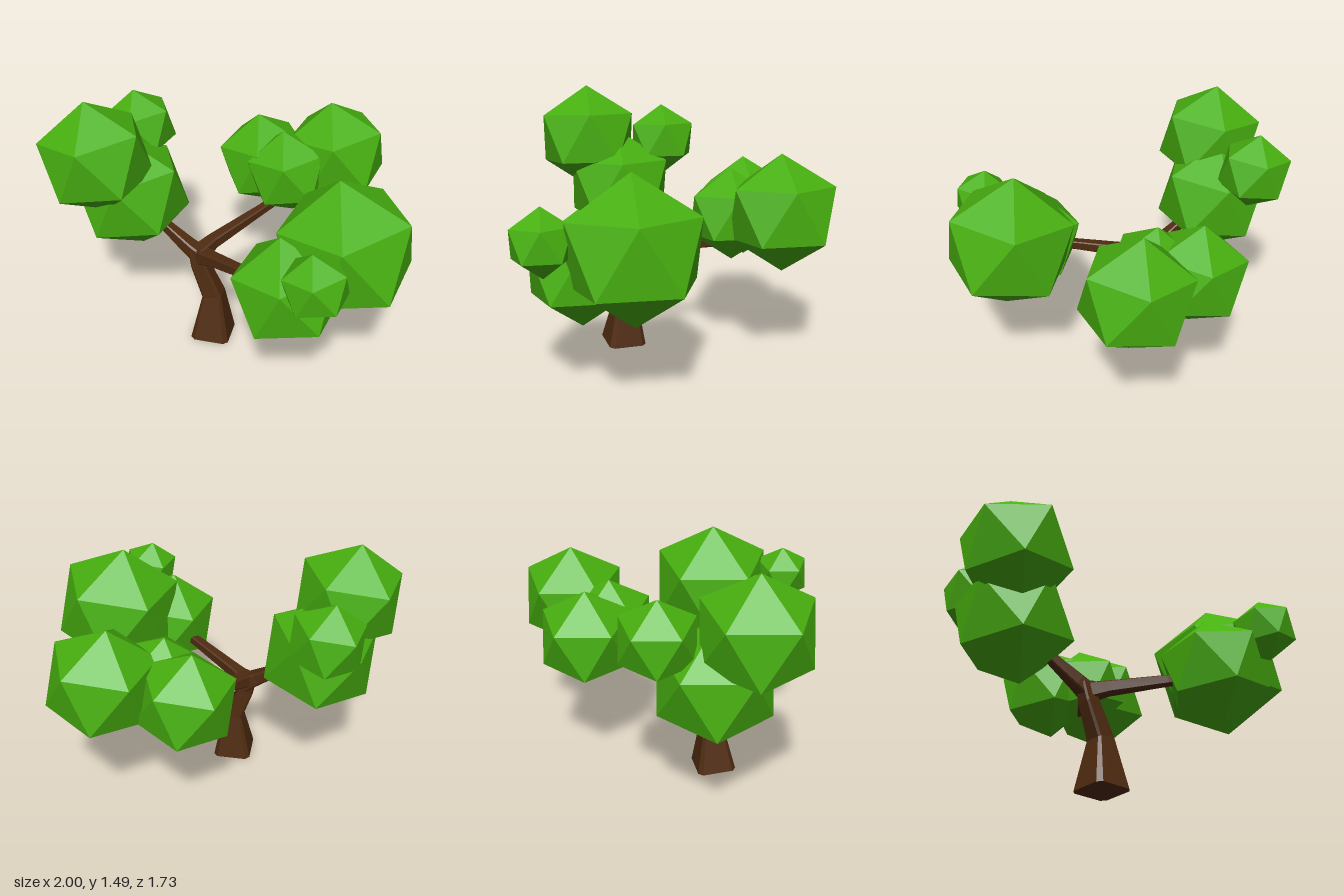
import * as THREE from 'three';

// Loft a bevelled-square limb through [x, y, z, halfWidth] stations
function limbGeometry(stations, ref) {
  const profile = [[1, -0.78], [1, 0.78], [0.78, 1], [-0.78, 1], [-1, 0.78], [-1, -0.78], [-0.78, -1], [0.78, -1]];
  const n = profile.length;
  const pts = stations.map(([x, y, z]) => new THREE.Vector3(x, y, z));
  const last = pts.length - 1;
  const pos = [], idx = [];
  pts.forEach((p, i) => {
    const t = pts[Math.min(i + 1, last)].clone().sub(pts[Math.max(i - 1, 0)]).normalize();
    const u = ref.clone().addScaledVector(t, -ref.dot(t)).normalize();
    const v = t.clone().cross(u);
    const r = stations[i][3];
    for (const [a, b] of profile) {
      const q = p.clone().addScaledVector(u, a * r).addScaledVector(v, b * r);
      pos.push(q.x, q.y, q.z);
    }
  });
  for (let i = 0; i < last; i++) {
    for (let k = 0; k < n; k++) {
      const a = i * n + k, b = i * n + (k + 1) % n;
      idx.push(a, b, b + n, a, b + n, a + n);
    }
  }
  for (let k = 1; k < n - 1; k++) {
    idx.push(0, k + 1, k);
    idx.push(last * n, last * n + k, last * n + k + 1);
  }
  const g = new THREE.BufferGeometry();
  g.setAttribute('position', new THREE.Float32BufferAttribute(pos, 3));
  g.setIndex(idx);
  const flat = g.toNonIndexed();
  flat.computeVertexNormals();
  return flat;
}

export function createModel() {
  const tree = new THREE.Group();
  tree.name = 'tree';
  const bark = new THREE.MeshStandardMaterial({ color: 0x4f2b10 });
  bark.name = 'bark brown';
  const leaf = new THREE.MeshStandardMaterial({ color: 0x48b010 });
  leaf.name = 'leaf green';

  const addLimb = (name, stations, ref) => {
    const mesh = new THREE.Mesh(limbGeometry(stations, ref), bark);
    mesh.name = name;
    tree.add(mesh);
  };

  // Trunk, flared at the foot and bent at the middle
  addLimb('trunk', [
    [-0.125, 0.012, 0.255, 0.114],
    [-0.122, 0.3, 0.24, 0.058],
    [-0.2, 0.5, 0.25, 0.045],
    [-0.225, 0.6, 0.245, 0.04],
  ], new THREE.Vector3(0.2, 0, 0.98));

  // Three branches leaving the fork
  const up = new THREE.Vector3(0, 1, 0);
  addLimb('rightBranch', [[-0.27, 0.6, 0.235, 0.03], [-0.2, 0.555, 0.24, 0.048], [-0.1, 0.585, 0.285, 0.036], [0.2, 0.65, 0.41, 0.027], [0.45, 0.7, 0.5, 0.022]].slice(1), up);
  addLimb('leftBranch', [[-0.18, 0.54, 0.24, 0.048], [-0.27, 0.6, 0.245, 0.04], [-0.43, 0.71, 0.24, 0.027], [-0.6, 0.82, 0.23, 0.022]], up);
  addLimb('backBranch', [[-0.21, 0.57, 0.26, 0.045], [-0.165, 0.6, 0.14, 0.036], [-0.01, 0.665, -0.17, 0.026], [0.1, 0.71, -0.4, 0.022]], up);

  // Faceted foliage: icosahedron with one corner up, leaning slightly
  const crown = new THREE.IcosahedronGeometry(1, 0);
  crown.rotateX(-Math.atan((1 + Math.sqrt(5)) / 2));
  crown.rotateY(Math.PI / 2);
  crown.rotateZ(THREE.MathUtils.degToRad(8));
  crown.computeVertexNormals();

  // x, y, z, radius
  const clumps = {
    rightFoliageLarge: [0.672, 0.88, 0.265, 0.397],
    rightFoliageLow: [0.448, 0.72, 0.52, 0.313],
    rightFoliageSmall: [0.667, 0.945, 0.712, 0.181],
    leftFoliageTop: [-0.73, 1.17, 0.41, 0.327],
    leftFoliageLow: [-0.643, 0.87, 0.22, 0.348],
    leftFoliageSmall: [-0.74, 1.14, -0.07, 0.224],
    backFoliageLarge: [0.32, 0.935, -0.59, 0.325],
    backFoliageMiddle: [-0.107, 0.858, -0.475, 0.293],
    backFoliageSmall: [0.1, 0.873, -0.355, 0.263],
  };
  for (const [name, [x, y, z, r]] of Object.entries(clumps)) {
    const mesh = new THREE.Mesh(crown, leaf);
    mesh.name = name;
    mesh.position.set(x, y, z);
    mesh.scale.setScalar(r);
    tree.add(mesh);
  }
  return tree;
}
